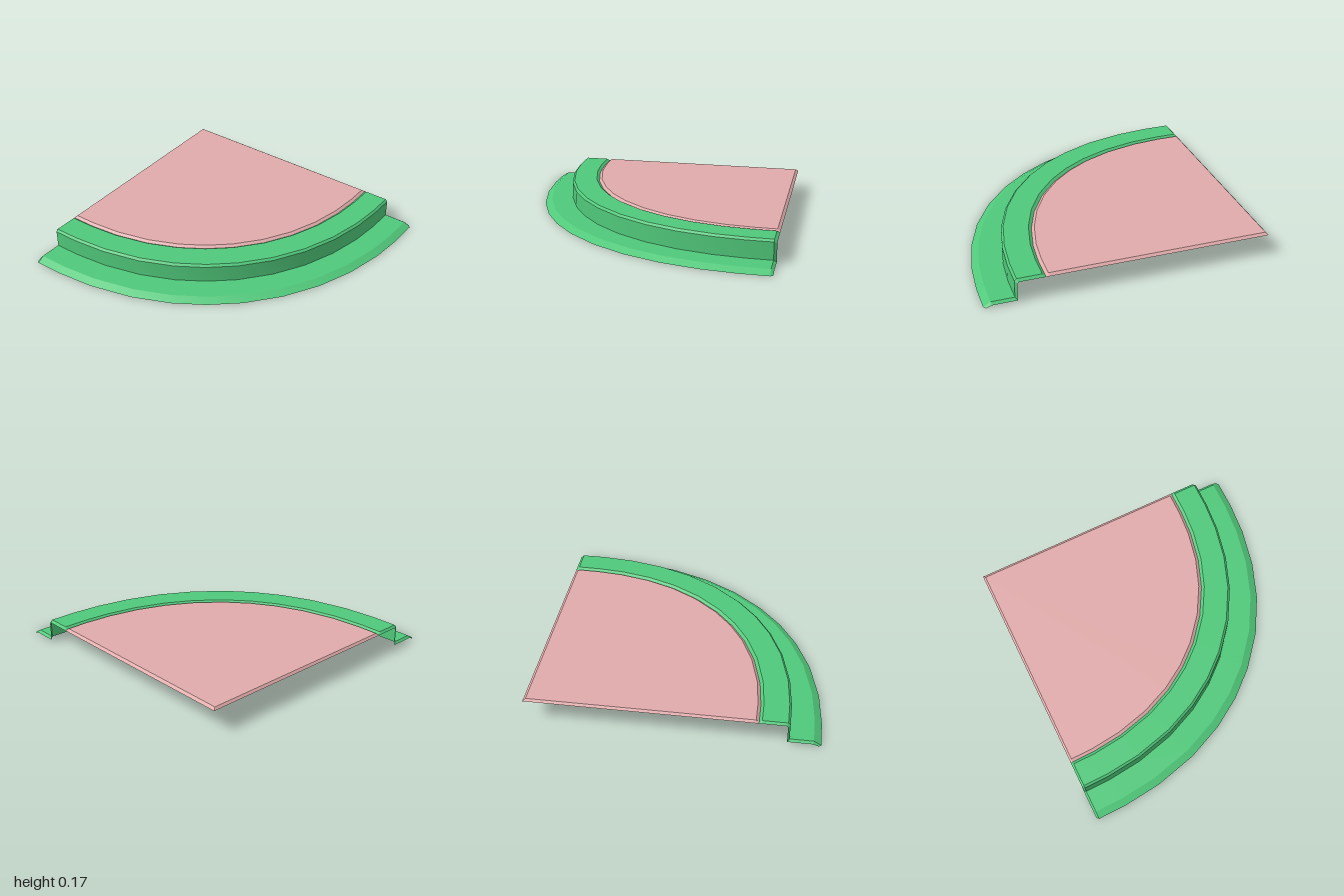
import * as THREE from 'three';
import { mergeGeometries } from 'three/addons/utils/BufferGeometryUtils.js';

// Corner of the quarter sector, and the drop-off beyond its two straight ends
const CX = 0.98, CZ = -0.985, END_X = 0.02, END_Z = 0.015;
const ANGLES = [0, 6, 14, 23, 31, 38, 45, 53, 61, 69, 77, 84, 90].map(THREE.MathUtils.degToRad);

// Point on the curve, which bulges slightly past a true circle in the middle
function place([r, y], angle, dx = 0, dz = 0) {
  const bulge = 1 + 0.044 * Math.pow(Math.max(0, Math.sin(2 * angle)), 1.5);
  return [CX - r * bulge * Math.cos(angle) + dx, y, CZ + r * bulge * Math.sin(angle) + dz];
}

// Ribbon between two lines of points, smooth along its length
function ribbon(inner, outer) {
  const positions = [], index = [];
  inner.forEach((p, i) => {
    positions.push(...p, ...outer[i]);
    if (i > 0) {
      const a = 2 * (i - 1);
      index.push(a, a + 1, a + 3, a, a + 3, a + 2);
    }
  });
  const g = new THREE.BufferGeometry();
  g.setAttribute('position', new THREE.Float32BufferAttribute(positions, 3));
  g.setIndex(index);
  g.computeVertexNormals();
  return g;
}

// Sweep a profile round the quarter turn, with a bevel at each straight end
function sweep(name, color, profile, endProfile) {
  const lines = profile.map(p => ANGLES.map(a => place(p, a)));
  const last = ANGLES.length - 1;
  const starts = endProfile.map(p => place(p, 0, 0, -END_Z));
  const ends = endProfile.map(p => place(p, Math.PI / 2, END_X, 0));
  if (profile[0][0] === 0) {
    // both bevels of the sector meet at its corner
    starts[0][0] += END_X;
    ends[0][2] -= END_Z;
  }
  const parts = [];
  for (let i = 0; i + 1 < profile.length; i++) {
    const a = lines[i], b = lines[i + 1];
    parts.push(ribbon(a, b));
    parts.push(ribbon([starts[i], a[0]], [starts[i + 1], b[0]]));
    parts.push(ribbon([a[last], ends[i]], [b[last], ends[i + 1]]));
  }
  const material = new THREE.MeshStandardMaterial({ color, side: THREE.DoubleSide });
  const mesh = new THREE.Mesh(mergeGeometries(parts), material);
  mesh.name = name;
  return mesh;
}

export function createModel() {
  const group = new THREE.Group();
  group.name = 'curvedCornerTile';

  // Raised floor sheet with its edges folded down
  group.add(sweep('floorPanel', 0xe0aaaa,
    [[0, 0.17], [1.545, 0.17], [1.565, 0.155]],
    [[0, 0.155], [1.545, 0.155], [1.565, 0.155]]));

  // Kerb sheet: top, wall, lower ledge and flared outer lip
  group.add(sweep('curvedKerb', 0x50c87a,
    [[1.565, 0.155], [1.585, 0.17], [1.755, 0.17], [1.77, 0.155], [1.77, 0.03], [1.93, 0.03], [1.98, 0]],
    [[1.565, 0.155], [1.585, 0.155], [1.745, 0.155], [1.755, 0.145], [1.755, 0.015], [1.925, 0.015], [1.965, 0]]));

  return group;
}
